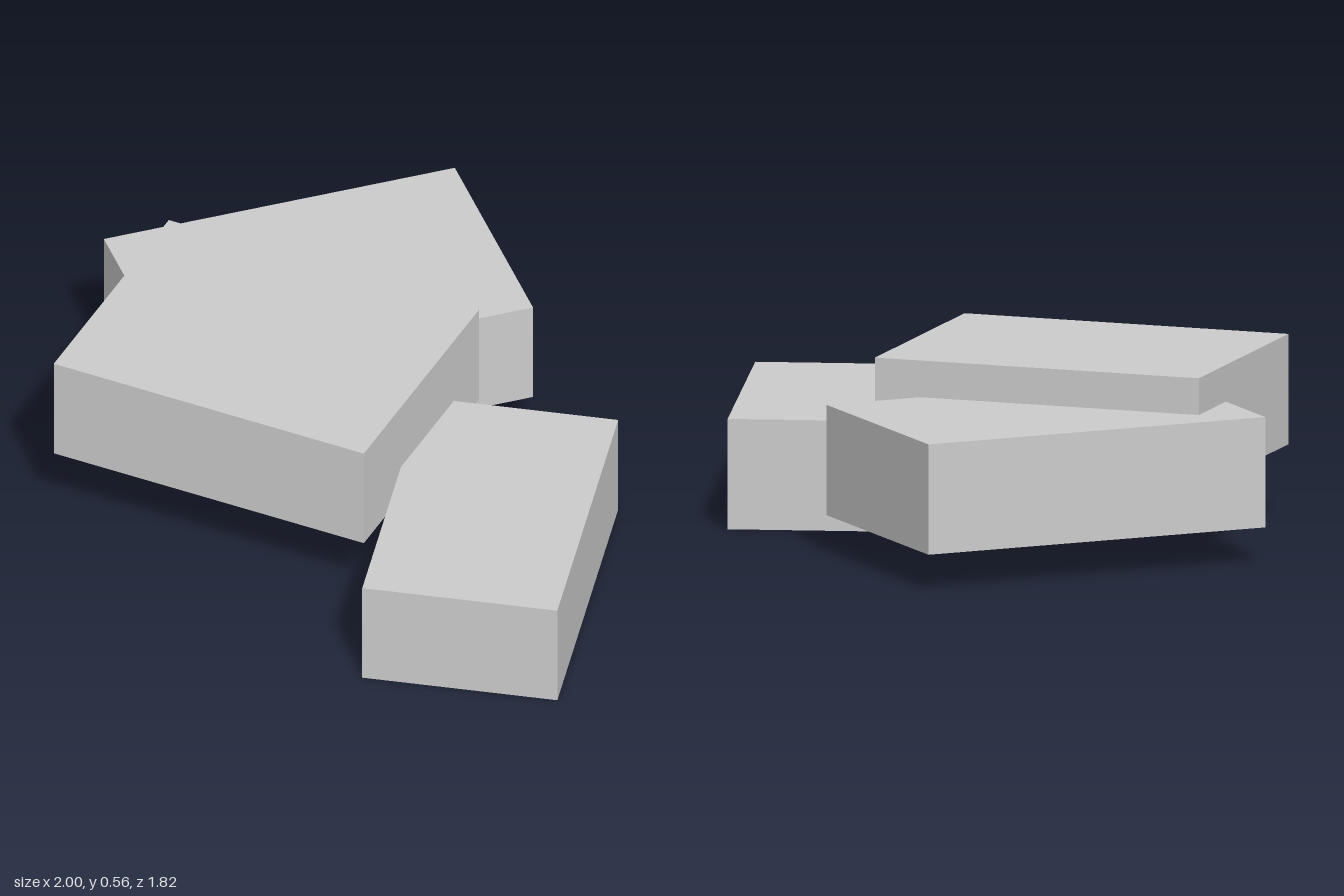
import * as THREE from 'three';

export function createModel() {
  const model = new THREE.Group();
  model.name = 'slabPile';
  const grey = new THREE.MeshStandardMaterial({ color: 0xcccccc });
  grey.name = 'light grey';

  // Every slab has the same thickness; each is turned about the vertical axis
  const thickness = 0.333;
  function addSlab(name, width, depth, x, bottom, z, turn) {
    const slab = new THREE.Mesh(new THREE.BoxGeometry(width, thickness, depth), grey);
    slab.name = name;
    slab.position.set(x, bottom + thickness / 2, z);
    slab.rotation.y = turn;
    model.add(slab);
  }

  addSlab('lowerSlab', 0.59, 0.958, 0.568, 0, 0.358, 0.318);
  addSlab('middleSlab', 1.1, 0.727, -0.36, 0.111, -0.26, 0.833);
  addSlab('upperSlab', 1.022, 0.787, -0.271, 0.222, 0.218, 0.059);

  return model;
}
